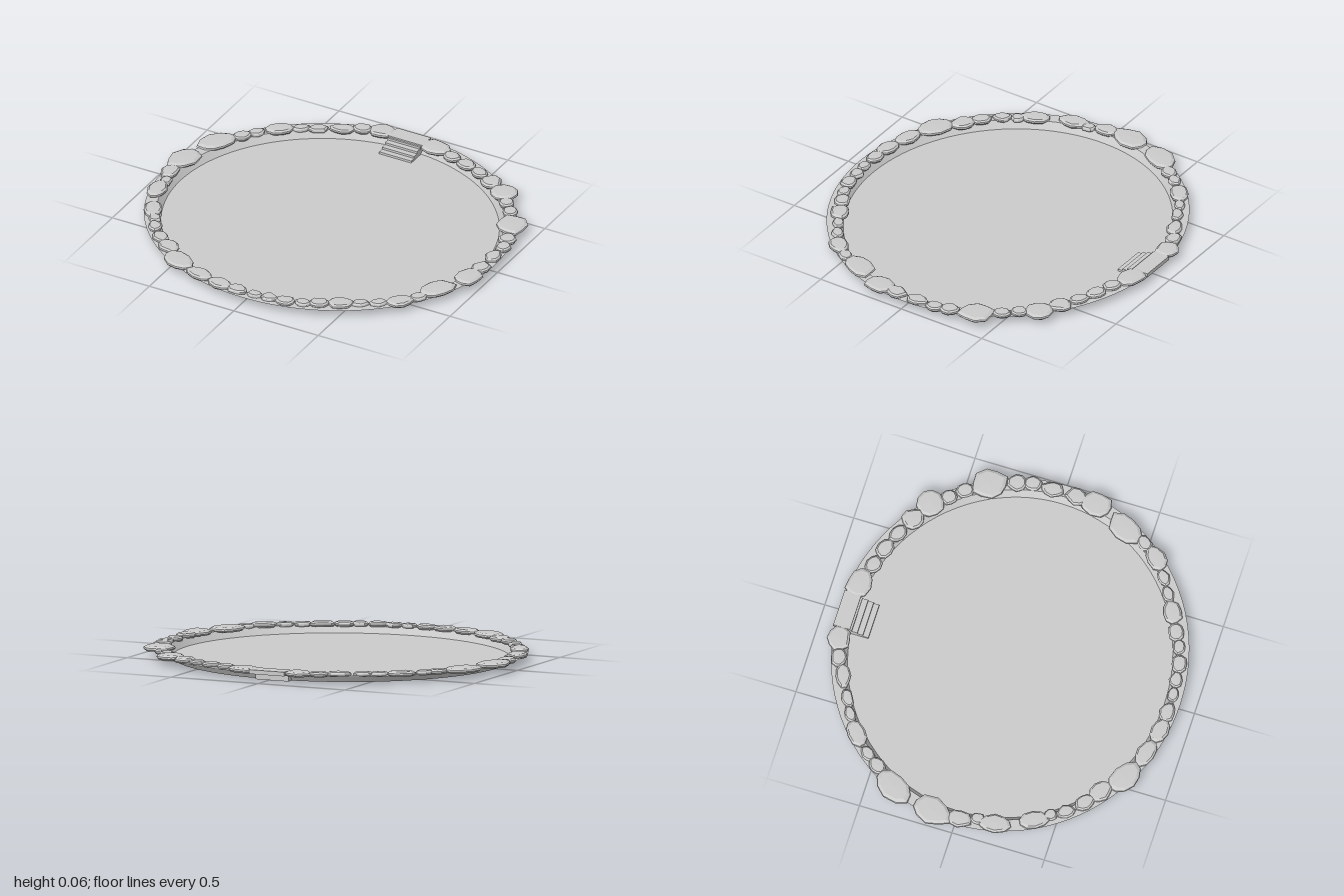
import * as THREE from 'three';

const smooth = new THREE.MeshStandardMaterial({ color: 0xcccccc, side: THREE.DoubleSide });
const faceted = new THREE.MeshStandardMaterial({ color: 0xcccccc, flatShading: true });

// Border stones in hundredths: centre x, centre z, radial width
const STONES = [
  [15, -86, 13], [27, -82, 8], [37, -79, 8], [47, -75, 8], [57, -70, 11], [68, -64, 15],
  [74, -56, 8], [80, -49, 8], [87, -38, 16], [92, -25, 9], [94, -17, 8], [94, -6, 8],
  [94, 7, 9], [93, 18, 13], [85, 36, 13], [80, 48, 7], [74, 56, 10], [65, 63, 6],
  [57, 68, 6], [48, 73, 10], [38, 78, 8], [31, 82, 7], [22, 85, 8], [13, 86, 7],
  [5, 87, 6], [-5, 87, 8], [-16, 86, 9], [-30, 83, 9], [-46, 77, 13], [-57, 67, 10],
  [-65, 61, 8], [-73, 53, 7], [-77, 46, 6], [-82, 39, 9], [-90, 20, 10], [-90, 11, 6],
  [-93, 2, 9], [-93, -13, 14], [-86, -36, 14], [-78, -47, 8], [-73, -54, 6], [-64, -63, 10],
  [-55, -69, 6], [-47, -73, 6], [-36, -79, 8], [-27, -84, 8], [-17, -87, 12],
];

let seed = 7;
function rand() {
  seed = (seed * 16807) % 2147483647;
  return seed / 2147483647;
}

// Flat slab with an irregular outline, chamfered top and undercut base
function stoneGeometry(halfLength, halfWidth, height) {
  const sides = 10;
  const profile = [[0, 0], [0.88, 0], [1, 0.35], [0.97, 0.65], [0.78, 0.95], [0, 1]]
    .map(([r, y]) => new THREE.Vector2(r, y));
  const geometry = new THREE.LatheGeometry(profile, sides);
  const bumps = Array.from({ length: sides }, () => 0.9 + 0.22 * rand());
  const pos = geometry.attributes.position;
  for (let i = 0; i < pos.count; i++) {
    const k = bumps[Math.floor(i / profile.length) % sides];
    pos.setXYZ(i, pos.getX(i) * k * halfLength, pos.getY(i) * height, pos.getZ(i) * k * halfWidth);
  }
  geometry.computeVertexNormals();
  return geometry;
}

function addBox(parent, name, x0, x1, y0, y1, z0, z1) {
  const mesh = new THREE.Mesh(new THREE.BoxGeometry(x1 - x0, y1 - y0, z1 - z0), faceted);
  mesh.position.set((x0 + x1) / 2, (y0 + y1) / 2, (z0 + z1) / 2);
  mesh.name = name;
  parent.add(mesh);
}

// One band of the oval basin, between two radius and height pairs
function addBand(parent, name, r0, y0, r1, y1) {
  const points = [new THREE.Vector2(r0, y0), new THREE.Vector2(r1, y1)];
  const mesh = new THREE.Mesh(new THREE.LatheGeometry(points, 96), smooth);
  mesh.scale.set(0.975, 1, 0.92);
  mesh.position.x = 0.01;
  mesh.name = name;
  parent.add(mesh);
}

export function createModel() {
  const model = new THREE.Group();
  model.name = 'stoneEdgedPool';

  // Shallow oval basin
  const basin = new THREE.Group();
  basin.name = 'basin';
  addBand(basin, 'floor', 0, 0, 0.908, 0);
  addBand(basin, 'wall', 0.908, 0, 0.935, 0.04);
  addBand(basin, 'rim', 0.935, 0.04, 1, 0.04);
  model.add(basin);

  // Ring of stones; neighbours share the space between them by width
  const border = new THREE.Group();
  border.name = 'stoneBorder';
  const reach = (a, b) => Math.hypot(b[0] - a[0], b[1] - a[1]) * a[2] / (a[2] + b[2]);
  STONES.forEach((s, i) => {
    const previous = STONES[i - 1] || STONES[i + 1];
    const next = STONES[i + 1] || STONES[i - 1];
    const halfLength = Math.min((reach(s, previous) + reach(s, next)) / 2, s[2] * 0.9);
    const height = 0.021 + 0.0005 * Math.min(s[2], 12);
    const stone = new THREE.Mesh(
      stoneGeometry(halfLength * 0.0107, s[2] * 0.0051, height), faceted);
    stone.position.set(s[0] / 100, 0.034, s[1] / 100);
    stone.rotation.y = Math.atan2(s[0] / 0.96, s[1] / 0.86);
    stone.name = 'stone';
    border.add(stone);
  });
  model.add(border);

  // Landing and steps down into the basin
  const stairs = new THREE.Group();
  stairs.name = 'stairs';
  addBox(stairs, 'landing', -0.11, 0.09, 0.034, 0.056, -0.92, -0.83);
  for (let i = 0; i < 4; i++) {
    addBox(stairs, 'step', -0.11, 0.08, 0, 0.012 * (i + 1), -0.868, -0.73 - 0.03 * i);
  }
  model.add(stairs);

  return model;
}
